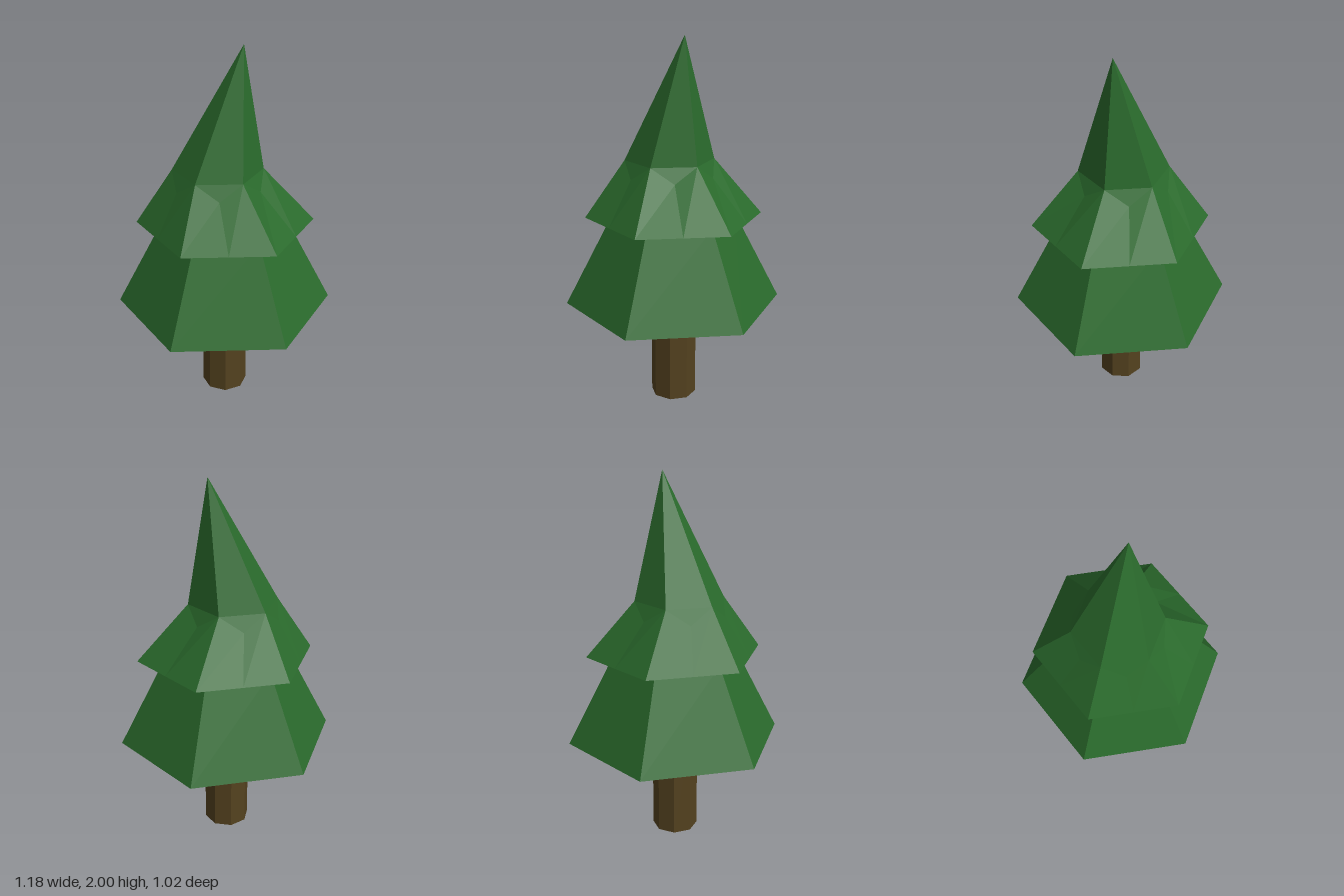
import * as THREE from 'three';

const material = (color) => new THREE.MeshStandardMaterial({ color, flatShading: true, roughness: 1 });

// Points round a twelve-step ring: even steps are hexagon corners, odd steps the middles of its sides
function ring(cx, corner, middle) {
  return Array.from({ length: 12 }, (_, i) => {
    const [r, y] = i % 2 ? middle : corner;
    const a = (i * Math.PI) / 6;
    return [cx + r * Math.cos(a), y, r * Math.sin(a)];
  });
}

// Flared skirt that bends into a leaning point
function crownGeometry() {
  const hem = ring(0.005, [0.477, 1.05], [0.413, 1.05]);
  const waist = ring(-0.035, [0.24, 1.35], [0.249, 1.27]);
  const tip = [0.095, 2, 0];
  const centre = [0, 1.05, 0];
  const points = [];
  const tri = (...corners) => corners.forEach((p) => points.push(...p));

  for (let i = 0; i < 12; i++) {
    const j = (i + 1) % 12;
    tri(hem[i], waist[i], hem[j]);
    tri(hem[j], waist[i], waist[j]);
    tri(centre, hem[i], hem[j]);
    if (i % 2 === 0) {
      const k = (i + 2) % 12;
      tri(waist[j], waist[i], waist[k]); // notch below each upper face
      tri(waist[i], tip, waist[k]);
    }
  }
  const geometry = new THREE.BufferGeometry();
  geometry.setAttribute('position', new THREE.Float32BufferAttribute(points, 3));
  geometry.computeVertexNormals();
  return geometry;
}

export function createModel() {
  const tree = new THREE.Group();
  tree.name = 'pineTree';
  const green = material(0x2a6a2c);
  const add = (name, geometry, mat, y = 0) => {
    const mesh = new THREE.Mesh(geometry, mat);
    mesh.name = name;
    mesh.position.y = y;
    tree.add(mesh);
  };

  // Eight-sided trunk
  add('trunk', new THREE.CylinderGeometry(0.125, 0.125, 0.565, 8), material(0x54421f), 0.2825);

  // Six-sided lower branches, corners on the x axis
  add('lowerBranches', new THREE.CylinderGeometry(0.335, 0.59, 0.49, 6, 1, false, Math.PI / 2), green, 0.807);

  // Upper branches and leaning tip
  add('upperBranches', crownGeometry(), green);

  return tree;
}
